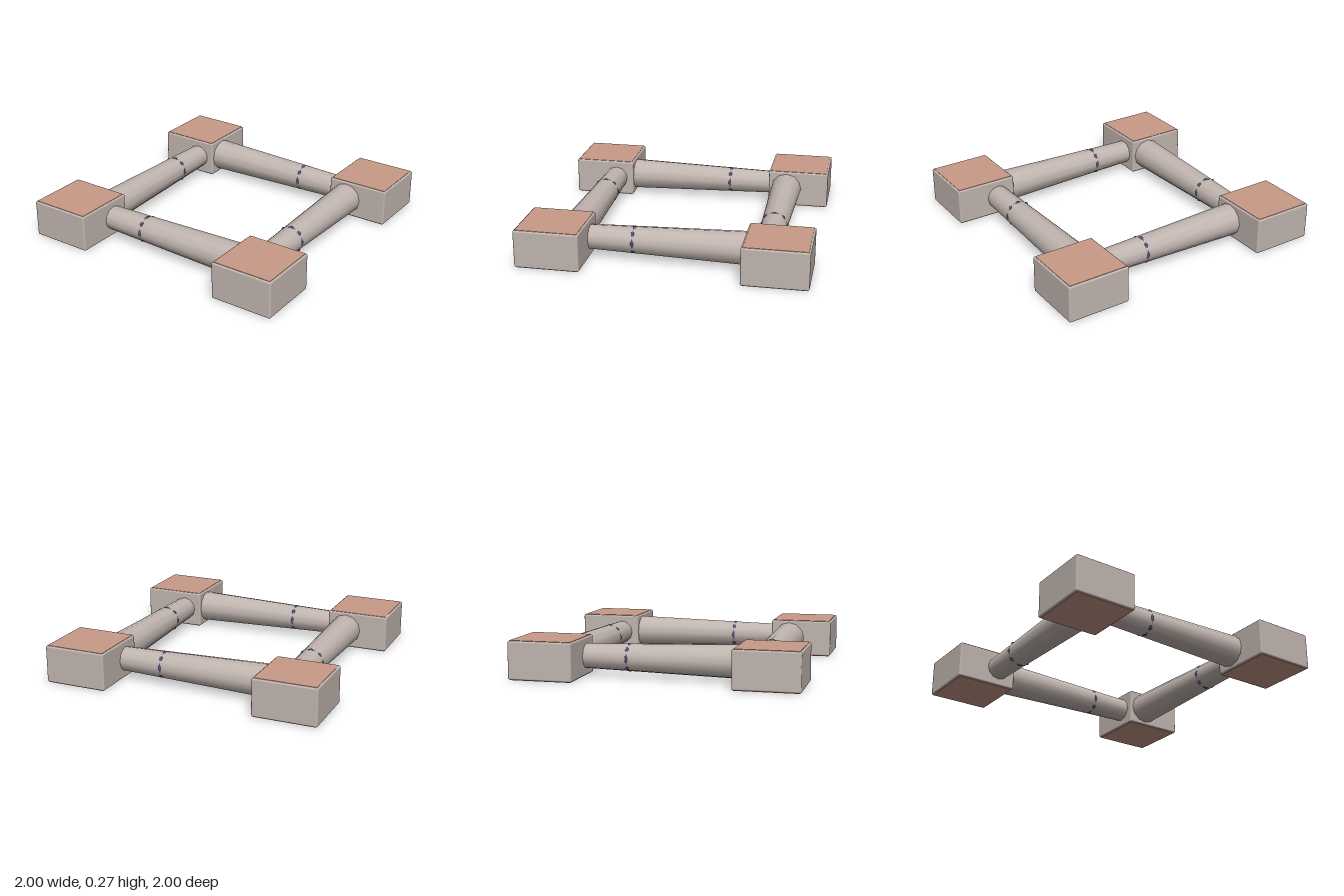
import * as THREE from 'three';
import { RoundedBoxGeometry } from 'three/addons/geometries/RoundedBoxGeometry.js';

const HEIGHT = 0.273, BLOCK = 0.455, EDGE = 0.012, PLATE = 0.003;
const BLOCK_AT = 1 - BLOCK / 2, BAR_AT = 0.68, MID = HEIGHT / 2;

function mesh(name, geometry, material, x, y, z) {
  const m = new THREE.Mesh(geometry, material);
  m.name = name;
  m.position.set(x, y, z);
  return m;
}

export function createModel() {
  const stone = new THREE.MeshStandardMaterial({ color: 0xc2b6b0 });
  stone.name = 'warm grey';
  const clay = new THREE.MeshStandardMaterial({ color: 0xc99a87 });
  clay.name = 'clay pink';
  const slate = new THREE.MeshStandardMaterial({ color: 0x50527a });
  slate.name = 'slate blue';

  const blockGeo = new RoundedBoxGeometry(BLOCK, HEIGHT - 2 * PLATE, BLOCK, 2, EDGE);
  const plateSize = BLOCK - 2 * EDGE;
  const plateGeo = new THREE.BoxGeometry(plateSize, PLATE, plateSize);

  // Tapered bar along x, thick at +x, running slightly into both blocks
  const barGeo = new THREE.CylinderGeometry(0.0864, 0.1164, 1.12, 12);
  barGeo.rotateZ(Math.PI / 2);
  barGeo.scale(1, 1, 1);

  // Faceted band around the thinner part of the bar
  const bandGeo = new THREE.TorusGeometry(0.0875, 0.0135, 8, 8);
  bandGeo.rotateY(Math.PI / 2);

  const model = new THREE.Group();
  model.name = 'squareFrame';

  // One corner and one side, repeated by quarter turns
  for (let i = 0; i < 4; i++) {
    const side = new THREE.Group();
    side.name = 'frameSide' + (i + 1);
    side.rotation.y = i * Math.PI / 2;
    side.add(
      mesh('cornerBlock', blockGeo, stone, BLOCK_AT, MID, BLOCK_AT),
      mesh('topPlate', plateGeo, clay, BLOCK_AT, HEIGHT - PLATE / 2, BLOCK_AT),
      mesh('bottomPlate', plateGeo, clay, BLOCK_AT, PLATE / 2, BLOCK_AT),
      mesh('taperedBar', barGeo, stone, 0, MID + 0.002, BAR_AT),
      mesh('band', bandGeo, slate, -0.232, MID + 0.002, BAR_AT)
    );
    model.add(side);
  }
  return model;
}
